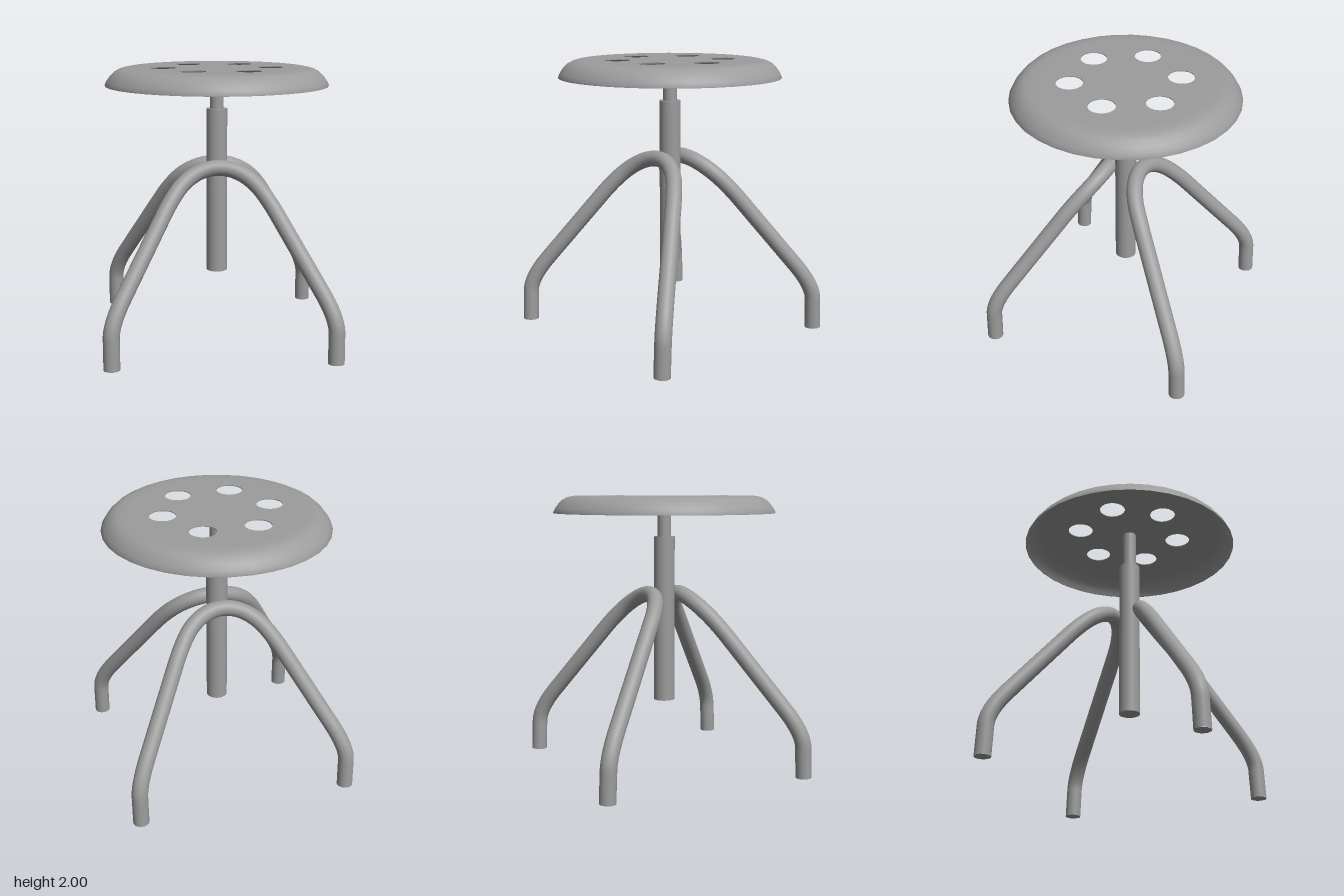
import * as THREE from 'three';
import { toCreasedNormals } from 'three/addons/utils/BufferGeometryUtils.js';

const material = new THREE.MeshStandardMaterial({ color: 0x9c9c9c });
const SEGMENTS = 36;

function addMesh(parent, name, geometry) {
  const mesh = new THREE.Mesh(geometry, material);
  mesh.name = name;
  parent.add(mesh);
  return mesh;
}

// Vertical cylinder between two heights
function post(radius, bottom, top) {
  return new THREE.CylinderGeometry(radius, radius, top - bottom, 32)
    .translate(0, (top + bottom) / 2, 0);
}

// Thin pressed seat: flat perforated disc with a turned-down rim
function createSeat() {
  const seat = new THREE.Group();
  seat.name = 'seat';
  const flatRadius = 0.6;

  const disc = new THREE.Shape().absarc(0, 0, flatRadius, 0, Math.PI * 2);
  for (let i = 0; i < 6; i++) {
    const a = (i * Math.PI) / 3;
    disc.holes.push(new THREE.Path()
      .absarc(0.387 * Math.cos(a), 0.387 * Math.sin(a), 0.094, 0, Math.PI * 2, true));
  }
  const plate = new THREE.ExtrudeGeometry(disc, { depth: 0.006, bevelEnabled: false, curveSegments: SEGMENTS });
  plate.rotateX(-Math.PI / 2).translate(0, 1.994, 0);
  addMesh(seat, 'seatPlate', plate);

  const profile = [
    [0.81, 1.876], [0.81, 1.882], [0.795, 1.912], [0.772, 1.944], [0.742, 1.973], [0.708, 1.991], [0.665, 2],
    [flatRadius, 2], [flatRadius, 1.994],
    [0.664, 1.994], [0.705, 1.985], [0.738, 1.968], [0.767, 1.94], [0.79, 1.909], [0.805, 1.876], [0.81, 1.876],
  ].map(([r, y]) => new THREE.Vector2(r, y));
  addMesh(seat, 'seatRim', toCreasedNormals(new THREE.LatheGeometry(profile, SEGMENTS), 0.7));
  return seat;
}

// One bent tube forming an arch and two splayed legs
function createLegArch(name) {
  const arch = new THREE.Group();
  arch.name = name;
  const radius = 0.058;
  const half = [
    [0.78, 0, 0.75], [0.78, 0.22, 0.742], // foot
    [0.78, 0.325, 0.738], [0.69, 0.483, 0.64], // lower bend
    [0.4, 0.991, 0.324], // straight run
    [0.36, 1.061, 0.28], [0.31, 1.125, 0.234], // knee
    [0.232, 1.225, 0.159], [0.12, 1.283, 0.115], [0, 1.283, 0.115], // top arch
  ];
  const right = half.map(([x, y, z]) => new THREE.Vector3(-x, y, z));
  const left = half.map((p) => new THREE.Vector3(...p));

  const path = new THREE.CurvePath();
  path.add(new THREE.LineCurve3(right[0], right[1]));
  path.add(new THREE.QuadraticBezierCurve3(right[1], right[2], right[3]));
  path.add(new THREE.LineCurve3(right[3], right[4]));
  path.add(new THREE.QuadraticBezierCurve3(right[4], right[5], right[6]));
  path.add(new THREE.CubicBezierCurve3(right[6], right[7], right[8], right[9]));
  path.add(new THREE.CubicBezierCurve3(left[9], left[8], left[7], left[6]));
  path.add(new THREE.QuadraticBezierCurve3(left[6], left[5], left[4]));
  path.add(new THREE.LineCurve3(left[4], left[3]));
  path.add(new THREE.QuadraticBezierCurve3(left[3], left[2], left[1]));
  path.add(new THREE.LineCurve3(left[1], left[0]));

  addMesh(arch, 'legTube', new THREE.TubeGeometry(path, 120, radius, 24));
  for (const [foot, side] of [[right[0], 'right'], [left[0], 'left']]) {
    const cap = new THREE.CircleGeometry(radius, 24).rotateX(Math.PI / 2);
    addMesh(arch, side + 'FootCap', cap).position.copy(foot);
  }
  return arch;
}

export function createModel() {
  const stool = new THREE.Group();
  stool.name = 'stool';
  stool.add(createSeat());

  // Telescoping centre column
  addMesh(stool, 'columnSleeve', post(0.077, 0.487, 1.705));
  addMesh(stool, 'columnSpindle', post(0.05, 1.69, 1.995));

  // Front and back leg arches
  const back = createLegArch('backLegs');
  back.rotation.y = Math.PI;
  stool.add(createLegArch('frontLegs'), back);
  return stool;
}
